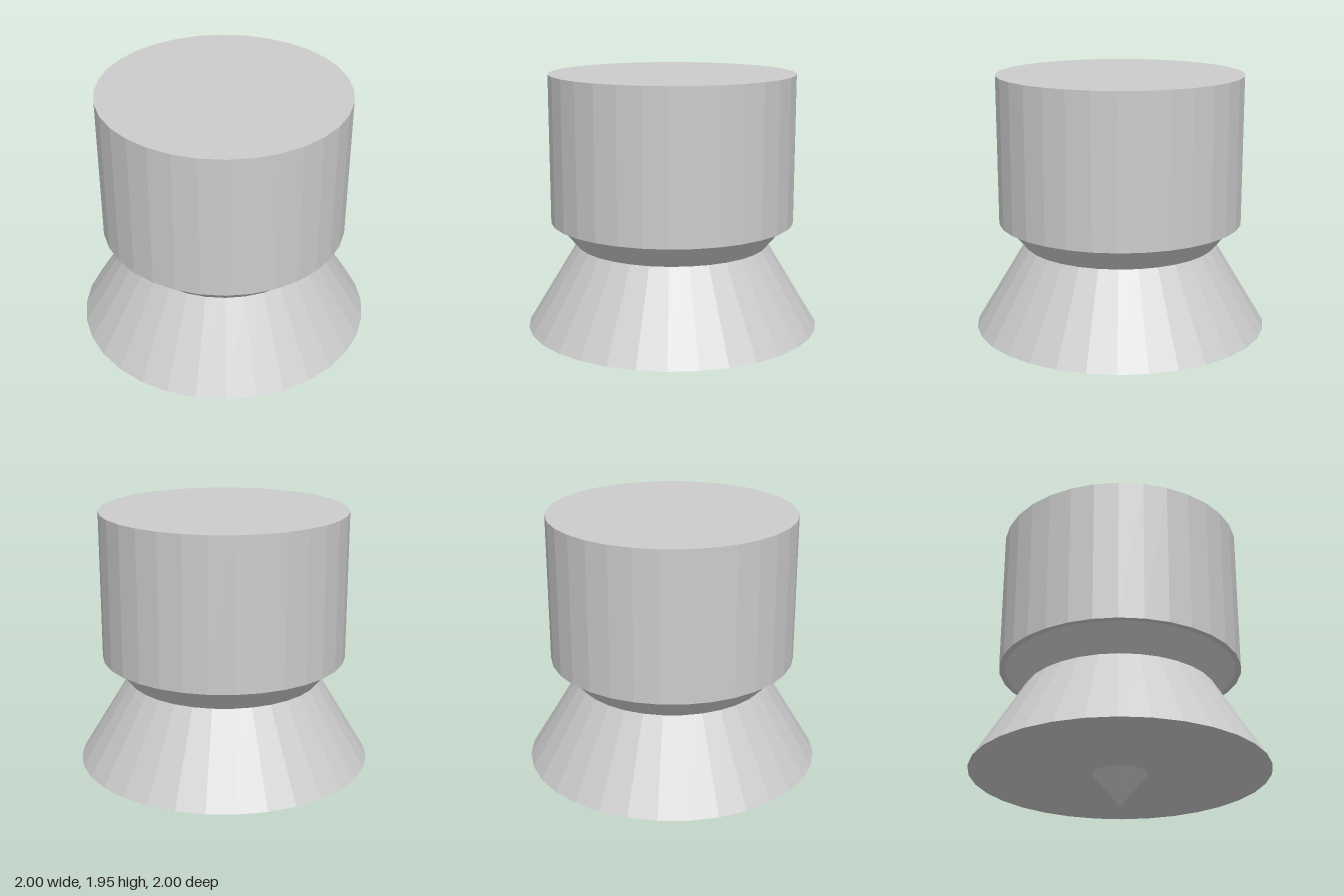
import * as THREE from 'three';

const SIDES = 32;

export function createModel() {
  const model = new THREE.Group();
  const material = new THREE.MeshStandardMaterial({ color: 0xcccccc, flatShading: true });

  // Round section standing between two heights
  function section(name, bottomY, topY, bottomRadius, topRadius) {
    const geometry = new THREE.CylinderGeometry(topRadius, bottomRadius, topY - bottomY, SIDES);
    const mesh = new THREE.Mesh(geometry, material);
    mesh.name = name;
    mesh.position.y = (bottomY + topY) / 2;
    model.add(mesh);
  }

  // Pointed tip, flared skirt, widening collar and drum, from the ground up
  section('tip', 0, 0.22, 0, 0.183);
  section('skirt', 0.22, 0.79, 1, 0.655);
  section('collar', 0.79, 0.95, 0.655, 0.79);
  section('drum', 0.95, 1.95, 0.83, 0.83);

  return model;
}
